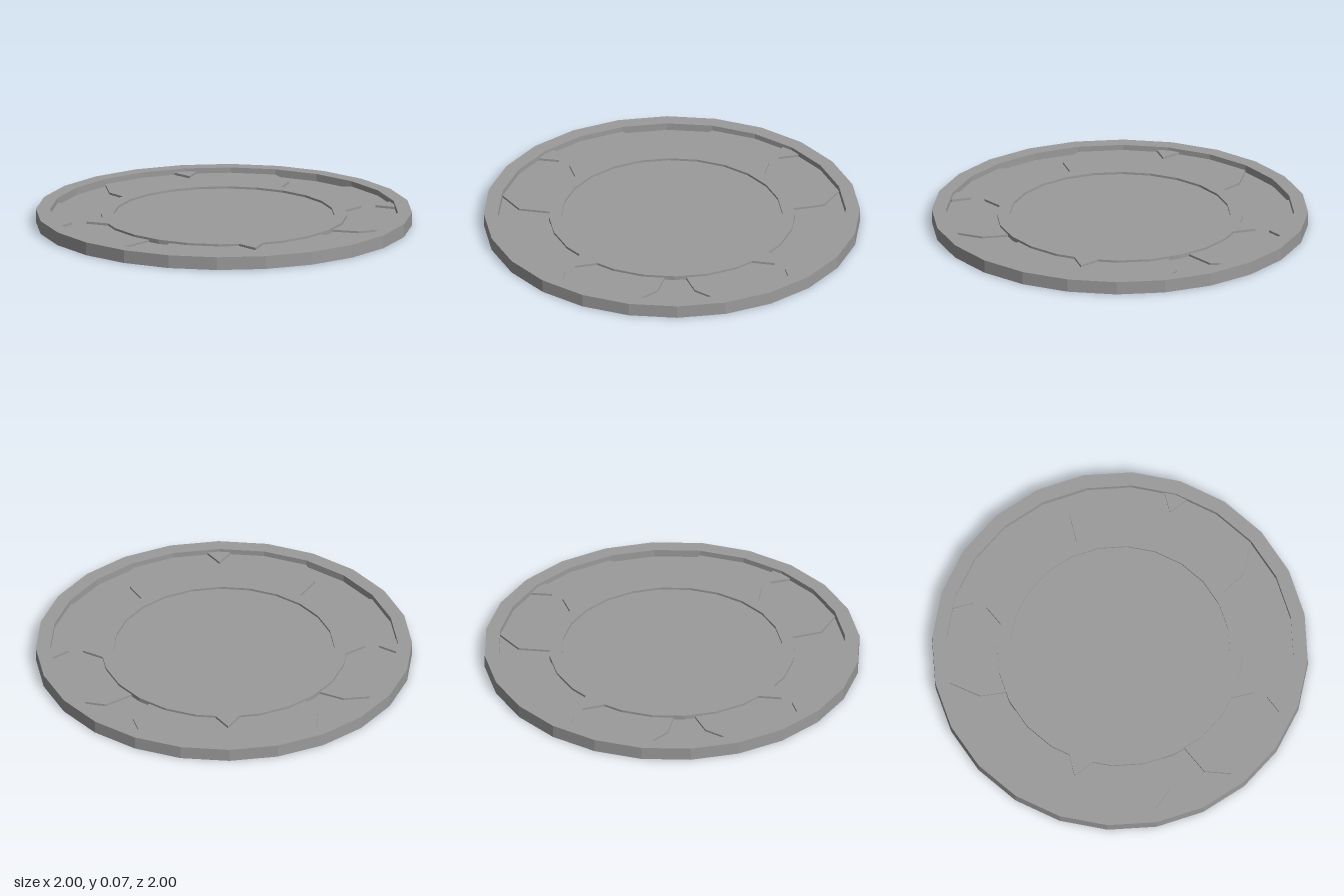
import * as THREE from 'three';

const material = new THREE.MeshStandardMaterial({ color: 0x9b9b9b, flatShading: true });
const RIM_IN = 0.925, RING_OUT = 0.655, RING_IN = 0.587;
const FLOOR = 0.03, PLATE = 0.041, RING = 0.053, TOP = 0.07;

// Point at radius r and angle in degrees
const polar = (r, deg) => {
  const a = THREE.MathUtils.degToRad(deg);
  return new THREE.Vector2(r * Math.cos(a), r * Math.sin(a));
};

// Points on a 24-sided circle from one angle to another
function arc(r, from, to) {
  const points = [];
  const step = Math.sign(to - from) * 15;
  for (let i = 0; i <= Math.abs(to - from) / 15; i++) points.push(polar(r, from + i * step));
  return points;
}

const circle = (r) => arc(r, 0, 345);

// Ring outline with a pointed spike on each diagonal
function spikedCircle(r, tip, spread) {
  const points = [];
  for (let deg = 0; deg < 360; deg += 15) {
    const corner = polar(r, deg);
    if (deg % 90 !== 45) { points.push(corner); continue; }
    // base points lie on the straight sides next to the corner
    points.push(corner.clone().lerp(polar(r, deg - 15), spread / 15));
    points.push(polar(tip, deg));
    points.push(corner.clone().lerp(polar(r, deg + 15), spread / 15));
  }
  return points;
}

// Flat slab from an outline, between heights y0 and y1
function slab(name, outline, y0, y1, hole) {
  const shape = new THREE.Shape(outline);
  if (hole) shape.holes.push(new THREE.Path(hole));
  const geometry = new THREE.ExtrudeGeometry(shape, { depth: y1 - y0, bevelEnabled: false });
  geometry.rotateX(-Math.PI / 2);
  geometry.translate(0, y0, 0);
  const mesh = new THREE.Mesh(geometry, material);
  mesh.name = name;
  return mesh;
}

export function createModel() {
  const group = new THREE.Group();
  group.name = 'roundPlatform';

  // Base floor and outer rim
  group.add(slab('floor', circle(RIM_IN), 0, FLOOR));
  group.add(slab('outerRim', circle(1), 0, TOP, circle(RIM_IN)));

  // Inner ring with outward spikes around a sunken centre
  group.add(slab('innerRing', spikedCircle(RING_OUT, 0.75, 5.8), FLOOR, RING, circle(RING_IN)));
  group.add(slab('centreDisc', circle(RING_IN), FLOOR, PLATE));

  // Diagonal plate, its inner edge tucked under the ring
  const plate = [
    new THREE.Vector2(0.64, 0.055),
    new THREE.Vector2(0.78, 0.1),
    ...arc(RIM_IN, 15, 75),
    new THREE.Vector2(0.1, 0.81),
    new THREE.Vector2(0.062, 0.64),
    ...arc(0.63, 75, 15),
  ];

  // Inward spike, set into the rim but lower than it
  const spike = [polar(0.825, 45), polar(0.917, 41.2), polar(0.95, 45), polar(0.917, 48.8)];

  // One plate and one spike in each quarter, leaving sunken gaps between plates
  for (const sx of [1, -1]) {
    for (const sz of [1, -1]) {
      const mirror = (points) => points.map((p) => new THREE.Vector2(p.x * sx, p.y * sz));
      const place = (sz > 0 ? 'Back' : 'Front') + (sx > 0 ? 'Left' : 'Right');
      group.add(slab('plate' + place, mirror(plate), FLOOR, PLATE));
      group.add(slab('rimSpike' + place, mirror(spike), FLOOR, RING));
    }
  }
  return group;
}
